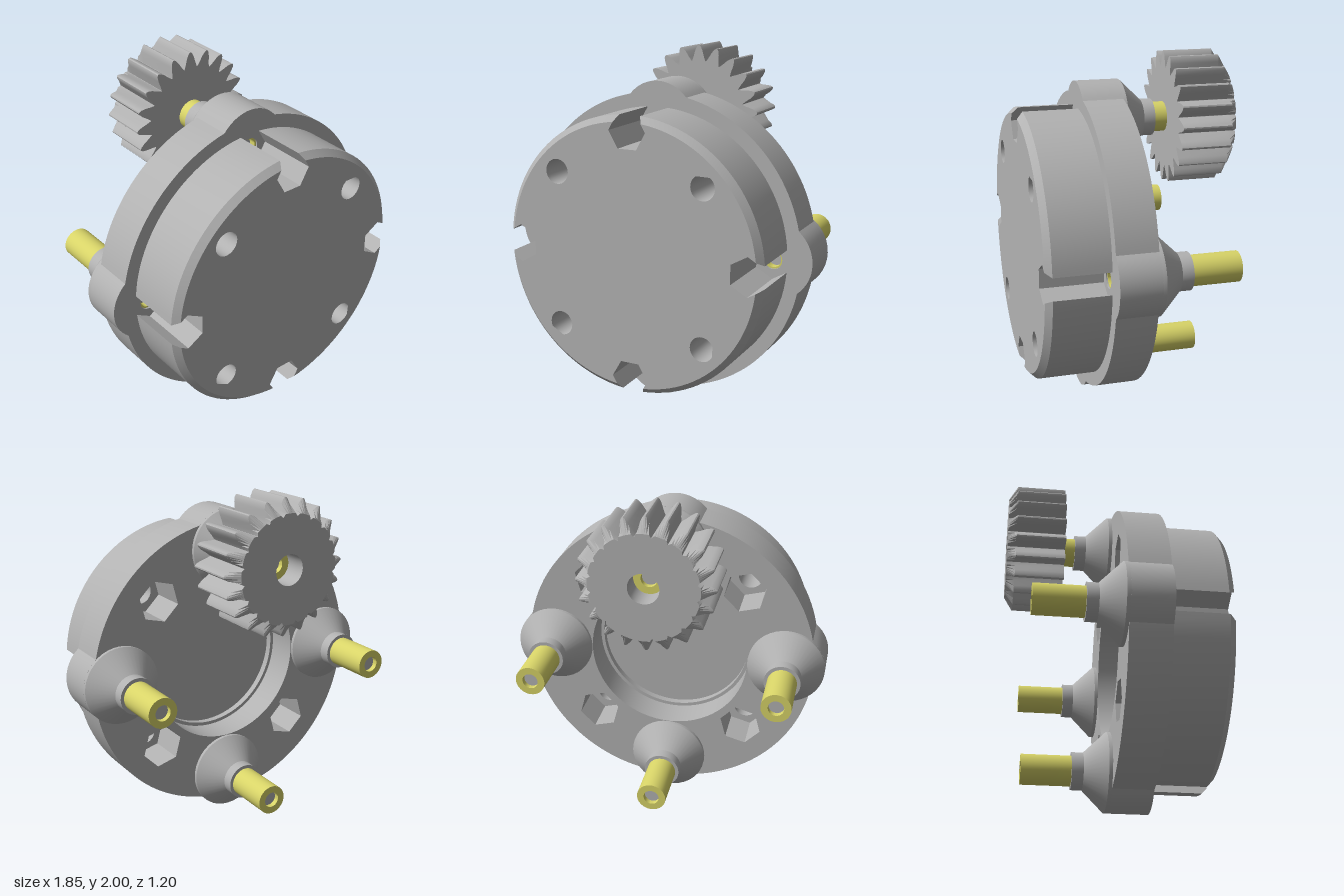
import * as THREE from 'three';
import { toCreasedNormals } from 'three/addons/utils/BufferGeometryUtils.js';

const PIN = 0.698;      // distance of the pins from the main axis
const HEX = 0.11;       // corner radius of the rim pockets
const V2 = (x, y) => new THREE.Vector2(x, y);
const polar = (r, a) => V2(r * Math.cos(a), r * Math.sin(a));

// Regular polygon or circle, used as a hole
function ring(cx, cy, r, n, turn = 0) {
  const pts = [];
  for (let i = 0; i < n; i++) pts.push(polar(r, turn + i / n * Math.PI * 2).add(V2(cx, cy)));
  return new THREE.Path(pts);
}

function slab(points, holes, z, depth, steps = 1) {
  const shape = new THREE.Shape(points);
  shape.holes.push(...holes);
  const geo = new THREE.ExtrudeGeometry(shape, { depth, steps, bevelEnabled: false });
  return geo.translate(0, 0, z);
}

// Disc outline of radius R with four hexagonal pockets open at the rim
function drumOutline(R) {
  let v = HEX / 2;
  for (let i = 0; i < 12; i++) v = HEX - (Math.sqrt(R * R - v * v) - PIN) / Math.sqrt(3);
  const u = Math.sqrt(R * R - v * v), gap = Math.atan2(v, u), a = HEX * Math.sqrt(3) / 2;
  const pts = [];
  for (let k = 0; k < 4; k++) {
    const t = k * Math.PI / 2;
    const notch = [[u, -v], [PIN, -HEX], [PIN - a, -HEX / 2], [PIN - a, HEX / 2], [PIN, HEX], [u, v]];
    for (const [x, y] of notch) pts.push(V2(x, y).rotateAround(V2(0, 0), t));
    for (let i = 1; i < 24; i++) pts.push(polar(R, t + gap + (Math.PI / 2 - 2 * gap) * i / 24));
  }
  return pts;
}

// Drum with a chamfered front rim
function drumGeometry(holes) {
  const wide = drumOutline(0.782), narrow = drumOutline(0.748);
  const geo = slab(wide, holes, 0.25, 0.35, 2);
  const p = geo.attributes.position;
  for (let i = 0; i < p.count; i++) {
    const z = p.getZ(i);
    if (z > 0.4 && z < 0.45) p.setZ(i, 0.565);
    else if (z > 0.59) {
      const j = wide.findIndex(q => Math.hypot(q.x - p.getX(i), q.y - p.getY(i)) < 1e-5);
      if (j >= 0) p.setXY(i, narrow[j].x, narrow[j].y);
    }
  }
  return geo;
}

// Flange outline: a circle joined with four round lobes
function flangeOutline() {
  const R = 0.86, r = 0.226, pts = [];
  const c = (R * R + PIN * PIN - r * r) / (2 * PIN), kink = Math.acos(c / R);
  for (let k = 0; k < 4; k++) {
    const t = k * Math.PI / 2;
    for (let i = 0; i <= 16; i++) {
      const a = kink * (i / 8 - 1);
      const d = PIN * Math.cos(a) + Math.sqrt(r * r - (PIN * Math.sin(a)) ** 2);
      pts.push(polar(d, t + a));
    }
    for (let i = 1; i < 24; i++) pts.push(polar(R, t + kink + (Math.PI / 2 - 2 * kink) * i / 24));
  }
  return pts;
}

// Spur gear, its teeth cut by a cone at the back
function gearGeometry() {
  const tooth = [[0.285, 0.044], [0.31, 0.034], [0.345, 0.024], [0.368, 0.013], [0.377, 0.004]];
  const pts = [];
  for (let k = 0; k < 20; k++) {
    const t = Math.PI / 2 + k * Math.PI / 10;
    for (const [r, w] of tooth) pts.push(polar(r, t - w / r));
    for (const [r, w] of [...tooth].reverse()) pts.push(polar(r, t + w / r));
  }
  const geo = slab(pts, [ring(0, 0, 0.0855, 32)], -0.6, 0.335, 2);
  const p = geo.attributes.position;
  for (let i = 0; i < p.count; i++) {
    const z = p.getZ(i), r = Math.hypot(p.getX(i), p.getY(i));
    if (z > -0.5 && z < -0.4) p.setZ(i, -0.55);
    else if (z < -0.59 && r > 0.3) p.setXY(i, p.getX(i) * 0.3 / r, p.getY(i) * 0.3 / r);
  }
  return geo;
}

// Turned part whose profile runs towards the back (radius, distance behind z = 0)
function turned(profile) {
  return new THREE.LatheGeometry(profile.map(([r, h]) => V2(r, h)), 40).rotateX(-Math.PI / 2);
}

export function createModel() {
  const grey = new THREE.MeshStandardMaterial({ color: 0xb2b2b2 });
  grey.name = 'grey';
  const brass = new THREE.MeshStandardMaterial({ color: 0xd8d468 });
  brass.name = 'brass';

  const model = new THREE.Group();
  const body = new THREE.Group();
  body.name = 'body';
  body.position.y = 0.925;
  model.add(body);
  const add = (parent, name, geo, mat) => {
    const mesh = new THREE.Mesh(toCreasedNormals(geo, 0.45), mat);
    mesh.name = name;
    parent.add(mesh);
    return mesh;
  };

  // Bolt holes in the drum, nut pockets and pin holes in the flange
  const boltHoles = [], flangeHoles = [ring(0, 0, 0.47, 72)];
  for (let k = 0; k < 4; k++) {
    const t = k * Math.PI / 2, d = t + Math.PI / 4;
    const b = polar(0.625, d), s = polar(PIN, t);
    boltHoles.push(ring(b.x, b.y, 0.07, 32));
    flangeHoles.push(ring(b.x, b.y, 0.125, 6, d + Math.PI / 6), ring(s.x, s.y, 0.055, 32));
  }
  add(body, 'drum', drumGeometry(boltHoles), grey);
  add(body, 'flange', slab(flangeOutline(), flangeHoles, 0.02, 0.23), grey);
  add(body, 'boreStep', slab(ring(0, 0, 0.475, 72).getPoints(), [ring(0, 0, 0.45, 72)], 0.21, 0.04), grey);

  // Four pins: cone foot, brass sleeve and core
  for (let k = 0; k < 4; k++) {
    const s = polar(PIN, k * Math.PI / 2);
    const pin = new THREE.Group();
    pin.name = 'pin';
    pin.position.set(s.x, s.y, 0);
    body.add(pin);
    add(pin, 'coneFoot', turned([[0.226, -0.025], [0.226, 0], [0.105, 0.125], [0.105, 0.19], [0.08, 0.19]]), grey);
    add(pin, 'sleeve', turned([[0.0545, -0.24], [0.0545, 0.18], [0.085, 0.18], [0.085, 0.47],
      [0.045, 0.47], [0.045, -0.24], [0.0545, -0.24]]), brass);
    add(pin, 'core', turned([[0, -0.2], [0.0448, -0.2], [0.0448, 0.44], [0, 0.44]]), grey);
  }

  // Gear on the top pin
  add(body, 'gear', gearGeometry(), grey).position.y = PIN;
  return model;
}
